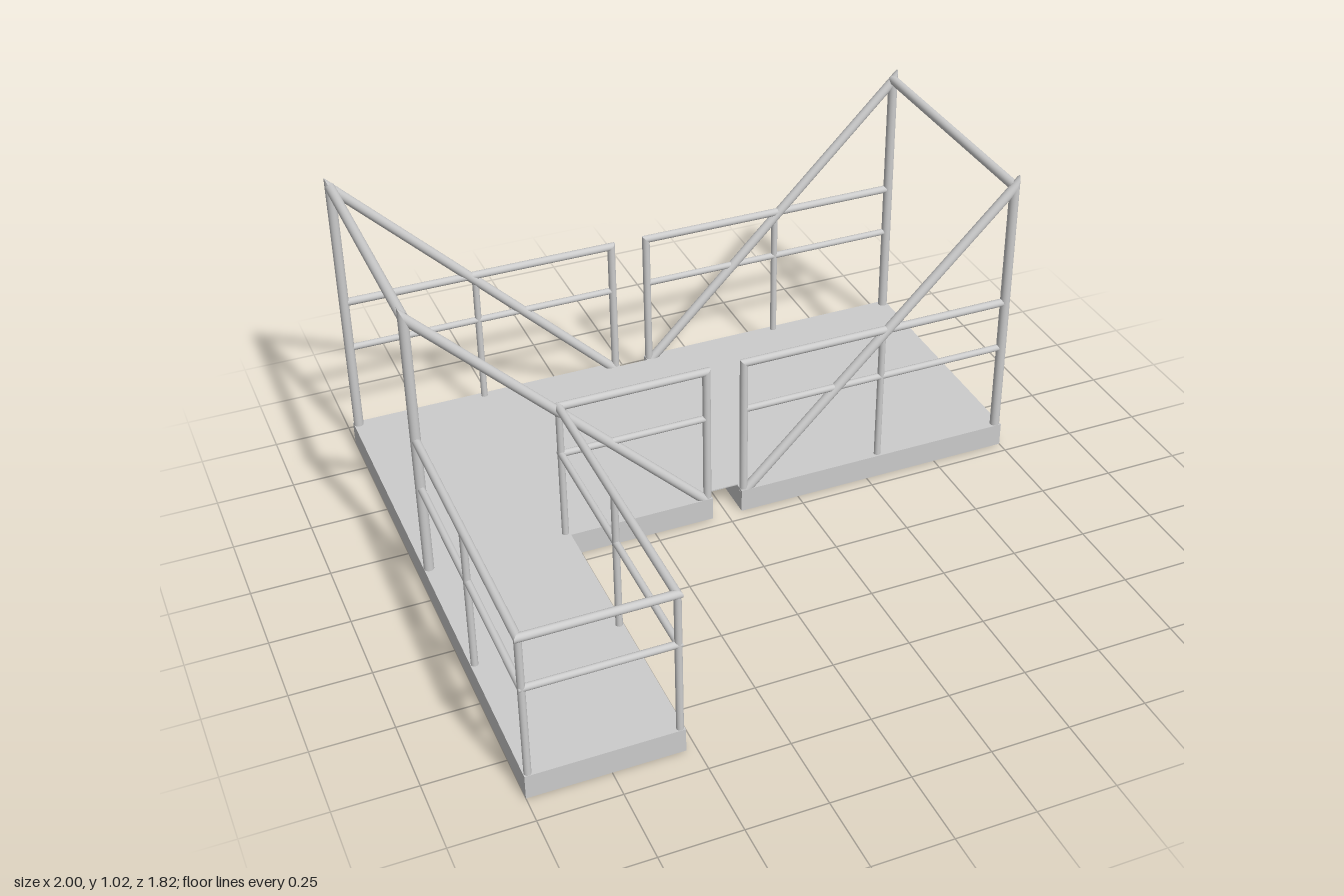
import * as THREE from 'three';
import { mergeGeometries } from 'three/addons/utils/BufferGeometryUtils.js';

const DECK = 0.08, TOP = 0.558, MID = 0.385;      // deck surface and rail heights
const FRONT = -0.056, BACK = -0.894, END = 0.984; // centre lines of the main posts
const GATE = 0.063, SIDE = 0.543, TIP = 0.898;    // gate posts, walkway rail, walkway end
const R_FRAME = 0.016, R_RAIL = 0.013, R_THIN = 0.011;

// Round tube along straight runs, with mitred corners.
function pipeGeometry(points, radius, sides = 20) {
  const p = points.map((q) => new THREE.Vector3(...q));
  const dirs = p.slice(1).map((q, i) => q.clone().sub(p[i]).normalize());
  const helper = Math.abs(dirs[0].y) > 0.9 ? new THREE.Vector3(1, 0, 0) : new THREE.Vector3(0, 1, 0);
  const u = helper.cross(dirs[0]).normalize();
  const v = dirs[0].clone().cross(u);
  let ring = [];
  for (let i = 0; i < sides; i++) {
    const a = (i / sides) * Math.PI * 2;
    ring.push(p[0].clone().addScaledVector(u, Math.cos(a) * radius).addScaledVector(v, Math.sin(a) * radius));
  }
  const runs = dirs.map((d, s) => {
    // slide the ring along the run until it meets the mitre plane
    const n = d.clone().add(dirs[s + 1] ?? d);
    const next = ring.map((q) => q.clone().addScaledVector(d, p[s + 1].clone().sub(q).dot(n) / d.dot(n)));
    const index = [];
    for (let i = 0; i < sides; i++) {
      const j = (i + 1) % sides;
      index.push(i, j, j + sides, i, j + sides, i + sides);
    }
    const g = new THREE.BufferGeometry().setFromPoints([...ring, ...next]);
    g.setIndex(index);
    g.computeVertexNormals();
    ring = next;
    return g;
  });
  return mergeGeometries(runs);
}

export function createModel() {
  const group = new THREE.Group();
  const material = new THREE.MeshStandardMaterial({ color: 0xcccccc, side: THREE.DoubleSide });

  const add = (name, geometry) => {
    const mesh = new THREE.Mesh(geometry, material);
    mesh.name = name;
    group.add(mesh);
  };
  const pipe = (name, radius, ...points) => add(name, pipeGeometry(points, radius));
  const slab = (name, x0, x1, y0, y1, z0, z1) =>
    add(name, new THREE.BoxGeometry(x1 - x0, y1 - y0, z1 - z0)
      .translate((x0 + x1) / 2, (y0 + y1) / 2, (z0 + z1) / 2));
  const post = (name, radius, x, z, top = TOP) => pipe(name, radius, [x, DECK - 0.01, z], [x, top, z]);

  // Decks
  slab('rightDeck', -1, -0.05, 0, DECK, -0.91, -0.04);
  slab('leftDeck', 0.05, 1, 0, DECK, -0.91, -0.04);
  slab('walkwayDeck', -1, -0.53, 0, DECK, -0.04, 0.91);
  slab('bridgePlate', -0.05, 0.05, DECK - 0.004, DECK, -0.88, -0.08);

  // Tall end frames: post and diagonal brace meet in a mitre, with a beam across
  for (const s of [-1, 1]) {
    for (const z of [FRONT, BACK]) {
      pipe('braceFrame', R_FRAME, [s * END, DECK - 0.01, z], [s * END, 0.977, z], [s * 0.06, DECK - 0.02, z]);
    }
    pipe('endBeam', R_FRAME, [s * END, 0.98, FRONT], [s * END, 0.98, BACK]);
  }

  // Straight guard rails with gate posts
  for (const [s, z] of [[-1, BACK], [1, BACK], [1, FRONT]]) {
    pipe('topRail', R_RAIL, [s * END, TOP, z], [s * GATE, TOP, z], [s * GATE, DECK - 0.01, z]);
    pipe('middleRail', R_THIN, [s * END, MID, z], [s * GATE, MID, z]);
    post('railPost', R_THIN, s * SIDE, z);
  }

  // Rails around the walkway, continuing to the gate
  const route = (y) => [[-END, y, FRONT], [-0.987, y, TIP], [-SIDE, y, TIP], [-SIDE, y, FRONT], [-GATE, y, FRONT]];
  pipe('walkwayTopRail', R_RAIL, ...route(TOP), [-GATE, DECK - 0.01, FRONT]);
  pipe('walkwayMiddleRail', R_THIN, ...route(MID));
  for (const x of [-0.987, -SIDE]) {
    for (const z of [TIP, 0.42]) post('walkwayPost', R_THIN, x, z);
  }
  post('walkwayPost', R_THIN, -SIDE, FRONT);

  return group;
}
